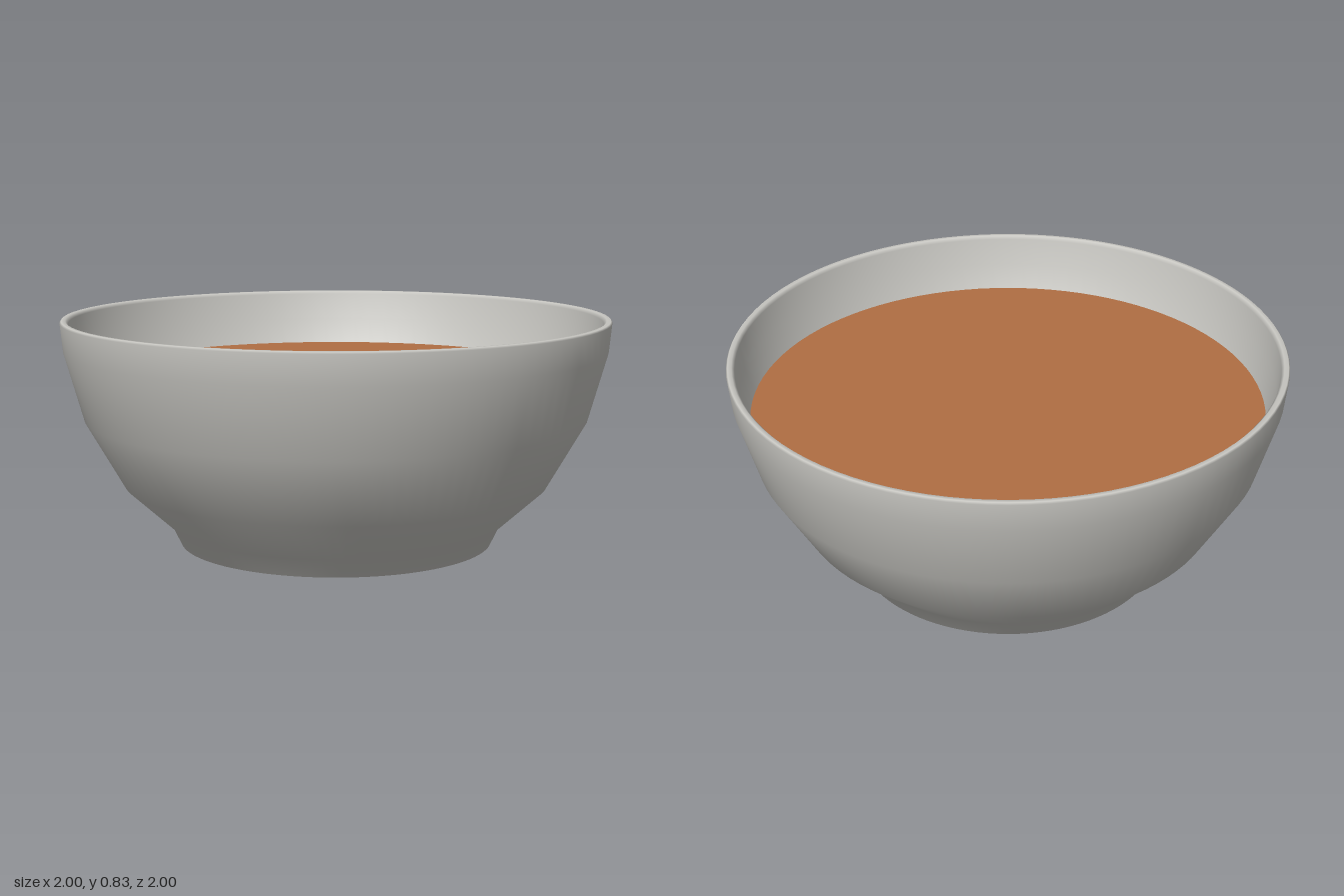
import * as THREE from 'three';

const SEGMENTS = 96;

const lathe = (points, material, name) => {
  const profile = points.map(([r, y]) => new THREE.Vector2(r, y));
  const mesh = new THREE.Mesh(new THREE.LatheGeometry(profile, SEGMENTS), material);
  mesh.name = name;
  return mesh;
};

export function createModel() {
  const ceramic = new THREE.MeshStandardMaterial({ color: 0xc9c8c3 });
  ceramic.name = 'ceramic grey';
  const broth = new THREE.MeshStandardMaterial({ color: 0xb06e43 });
  broth.name = 'soup brown';

  const model = new THREE.Group();
  model.name = 'soupBowl';

  // Closed shell: recessed base, foot ring, outer wall, thin rim, inner wall
  model.add(lathe([
    [0, 0.06], [0.48, 0.06], [0.535, 0.005], [0.555, 0], [0.577, 0],
    [0.61, 0.07], [0.78, 0.225], [0.92, 0.47], [0.99, 0.72], [1, 0.825],
    [0.995, 0.832], [0.98, 0.832], [0.97, 0.82],
    [0.96, 0.72], [0.89, 0.48], [0.75, 0.25], [0.58, 0.11], [0, 0.1],
  ], ceramic, 'bowl'));

  // Flat liquid surface meeting the inner wall
  const soup = new THREE.Mesh(new THREE.CircleGeometry(0.932, SEGMENTS), broth);
  soup.name = 'soupSurface';
  soup.rotation.x = -Math.PI / 2;
  soup.position.y = 0.62;
  model.add(soup);

  return model;
}
